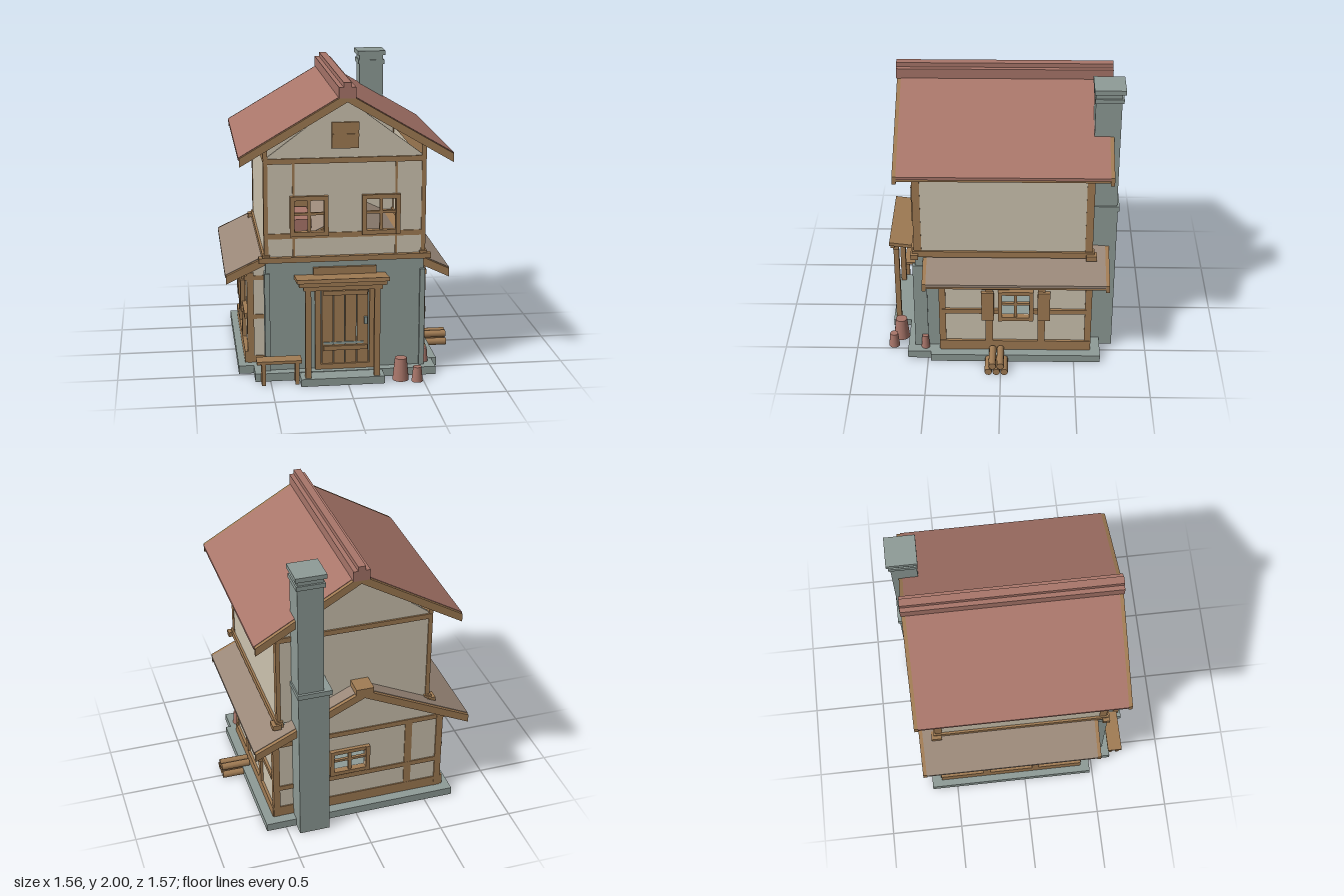
import * as THREE from 'three';

const mat = (name, color, side = THREE.FrontSide) => {
  const m = new THREE.MeshStandardMaterial({ color, side });
  m.name = name;
  return m;
};

export function createModel() {
  const root = new THREE.Group();
  root.name = 'timberHouse';
  const plaster = mat('plaster', 0xcfc5b1), wood = mat('wood', 0xa17c54), stone = mat('stone', 0x8f9c97);
  const tile = mat('redTile', 0xa9766a), shingle = mat('greyShingle', 0x9a8879);

  const add = (name, geo, m, parent = root) => {
    const mesh = new THREE.Mesh(geo, m);
    mesh.name = name;
    parent.add(mesh);
    return mesh;
  };
  // box given by its bounds
  const box = (name, m, x0, x1, y0, y1, z0, z1, parent = root) => {
    const b = add(name, new THREE.BoxGeometry(x1 - x0, y1 - y0, z1 - z0), m, parent);
    b.position.set((x0 + x1) / 2, (y0 + y1) / 2, (z0 + z1) / 2);
    return b;
  };
  // outline in xy with rectangular holes [cx, cy, w, h], extruded from z0 to z1
  const slab = (name, m, pts, z0, z1, holes = [], parent = root) => {
    const shape = new THREE.Shape(pts.map(p => new THREE.Vector2(p[0], p[1])));
    for (const [cx, cy, w, h] of holes) {
      const a = w / 2, b = h / 2;
      shape.holes.push(new THREE.Path([[-a, -b], [-a, b], [a, b], [a, -b]].map(p => new THREE.Vector2(cx + p[0], cy + p[1]))));
    }
    const geo = new THREE.ExtrudeGeometry(shape, { depth: z1 - z0, bevelEnabled: false });
    const mesh = add(name, geo, m, parent);
    mesh.position.z = z0;
    return mesh;
  };
  // pitched roof: wooden deck, coloured covering, bargeboards at both ends
  const roof = (name, m, cx, apex, half, slope, z0, z1) => {
    for (const s of [-1, 1]) {
      const strip = (top, bottom, w) => [[cx, apex - top], [cx + s * w, apex - top - slope * w],
        [cx + s * w, apex - bottom - slope * w], [cx, apex - bottom]];
      slab(name + 'Deck', wood, strip(0.02, 0.045, half - 0.01), z0 + 0.025, z1 - 0.025);
      slab(name + 'Covering', m, strip(0, 0.02, half), z0 + 0.025, z1 - 0.025);
      slab(name + 'Bargeboard', wood, strip(0.004, 0.06, half - 0.005), z0, z0 + 0.025);
      slab(name + 'Bargeboard', wood, strip(0.004, 0.06, half - 0.005), z1 - 0.025, z1);
    }
  };
  // open framed window facing +z, with optional shutters
  const windowAt = (name, x, y, z, ry, w, h, shutters) => {
    const g = new THREE.Group();
    g.name = name;
    g.position.set(x, y, z);
    g.rotation.y = ry;
    root.add(g);
    const a = w / 2, b = h / 2;
    for (const s of [-1, 1]) {
      box('windowJamb', wood, s * (a - 0.014) - 0.014, s * (a - 0.014) + 0.014, -b, b, -0.02, 0.025, g);
      box('windowRail', wood, -a + 0.02, a - 0.02, s * (b - 0.014) - 0.014, s * (b - 0.014) + 0.014, -0.02, 0.02, g);
      if (shutters) box('shutter', wood, s * 0.19 - 0.042, s * 0.19 + 0.042, -0.11, 0.115, 0, 0.028, g);
    }
    box('mullion', wood, -0.01, 0.01, -b, b, -0.01, 0.012, g);
    box('glazingBar', wood, -a, a, 0.005, 0.022, -0.01, 0.01, g);
  };

  // stone footing and doorstep
  box('footing', stone, -0.7, 0.635, 0, 0.055, -0.68, 0.48);
  box('frontFooting', stone, -0.6, 0.6, 0, 0.054, 0.48, 0.64);
  box('doorstep', stone, -0.31, 0.24, 0, 0.05, 0.6, 0.765);

  // stone front of the ground floor
  box('stoneFront', stone, -0.52, 0.52, 0.05, 0.8, 0.4, 0.575);
  box('stoneCourse', stone, -0.52, 0.52, 0.74, 0.81, -0.6, 0.41);
  for (const s of [-1, 1])
    box('stonePilaster', stone, s * 0.512 - 0.017, s * 0.512 + 0.017, 0.05, 0.72, 0.5, 0.592);

  // ground floor timber-framed walls
  const L = -0.635, R = 0.565, C = (L + R) / 2;
  const gable = [[L + 0.01, 0.055], [R - 0.01, 0.055], [R - 0.01, 0.69], [C, 0.98], [L + 0.01, 0.69]];
  slab('lowerBackWall', plaster, gable, -0.605, -0.58, [[0.03, 0.42, 0.22, 0.15]]);
  slab('lowerFrontWall', plaster, gable, 0.38, 0.41);
  for (const s of [-1, 1]) {
    const x = s > 0 ? R : L;
    const side = slab('lowerSideWall', plaster, [[-0.4, 0.055], [0.6, 0.055], [0.6, 0.7], [-0.4, 0.7]], 0, 0.02, [[0.1, 0.43, 0.19, 0.19]]);
    side.rotation.y = Math.PI / 2;
    side.position.set(s > 0 ? x - 0.03 : x + 0.01, 0, 0);
    const beam = (name, y0, y1, z0, z1, out = 0) => box(name, wood, x - 0.018 + s * out, x + 0.018 + s * out - 0.01 * s, y0, y1, z0, z1);
    beam('sillBeam', 0.055, 0.13, -0.61, 0.415);
    beam('wallPlate', 0.63, 0.66, -0.61, 0.415);
    for (const [z0, z1] of [[-0.58, -0.22], [0.02, 0.4]]) beam('midRail', 0.36, 0.395, z0, z1);
    for (const z of [0.08, -0.275]) beam('sideStud', 0.1, 0.64, z - 0.025, z + 0.025);
    beam('windowHood', 0.57, 0.592, -0.16, 0.13, 0.012);
    for (const [z0, z1] of [[-0.615, -0.57], [0.375, 0.42]])
      box('cornerPost', wood, Math.min(x, x - s * 0.045), Math.max(x, x - s * 0.045), 0.055, 0.68, z0, z1);
    windowAt('sideWindow', x, 0.43, -0.1, s * Math.PI / 2, 0.24, 0.24, true);
    // short rails on the shoulders beside the stone front
    const e = s * 0.52;
    for (const [y0, y1] of [[0.055, 0.1], [0.36, 0.39], [0.63, 0.66]])
      box('shoulderRail', wood, Math.min(x, e), Math.max(x, e), y0, y1, 0.4, 0.416);
  }
  for (const [y0, y1] of [[0.055, 0.13], [0.27, 0.305], [0.63, 0.665]])
    box('backRail', wood, L, R, y0, y1, -0.613, -0.6);
  for (const x of [-0.39, 0.2]) box('backStud', wood, x - 0.025, x + 0.025, 0.1, 0.64, -0.612, -0.6);
  windowAt('backWindow', 0.03, 0.42, -0.61, Math.PI, 0.28, 0.2, false);

  // lower roof
  roof('lowerRoof', shingle, C, 1.05, 0.745, 0.475, -0.72, 0.52);
  box('lowerRidge', wood, C - 0.06, C + 0.06, 1.02, 1.065, -0.725, -0.55);

  // upper storey: gable walls, side walls and framing
  const upper = [[-0.515, 0.82], [0.515, 0.82], [0.515, 1.48], [0, 1.865], [-0.515, 1.48]];
  slab('upperFrontWall', plaster, upper, 0.55, 0.57, [[-0.235, 1.1, 0.2, 0.21], [0.235, 1.1, 0.2, 0.21]]);
  slab('upperBackWall', plaster, upper, -0.6, -0.58);
  box('upperFloor', wood, -0.5, 0.5, 0.81, 0.83, -0.58, 0.55);
  for (const s of [-1, 1]) {
    const x = s * 0.515;
    box('upperSideWall', plaster, x - 0.01, x + 0.01, 0.82, 1.56, -0.6, 0.57);
    box('eavePlate', wood, x - 0.015, x + 0.015, 1.455, 1.55, -0.605, 0.575);
    box('jettySideBeam', wood, x - 0.025, x + 0.025, 0.8, 0.845, -0.62, 0.59);
    for (const [z0, z1] of [[-0.608, -0.558], [0.528, 0.578]])
      box('upperCornerPost', wood, x - 0.014, x + 0.014, 0.83, 1.54, z0, z1);
    box('frontStud', wood, s * 0.335 - 0.007, s * 0.335 + 0.007, 0.83, 1.46, 0.565, 0.574);
    box('jettyBeamEnd', wood, s * 0.535 - 0.03, s * 0.535 + 0.03, 0.795, 0.83, -0.635, -0.565);
    windowAt('upperWindow', s * 0.235, 1.1, 0.575, 0, 0.25, 0.265, false);
  }
  box('frontTieBeam', wood, -0.525, 0.525, 1.445, 1.48, 0.56, 0.582);
  box('frontRail', wood, -0.525, 0.525, 0.95, 0.985, 0.56, 0.578);
  box('backTieBeam', wood, -0.525, 0.525, 1.445, 1.48, -0.612, -0.59);
  box('jettyFrontBeam', wood, -0.565, 0.565, 0.795, 0.83, 0.55, 0.6);

  // attic hatch with cross bars
  box('atticHatch', wood, -0.088, 0.088, 1.54, 1.71, 0.565, 0.585);
  box('hatchBar', wood, -0.01, 0.01, 1.54, 1.71, 0.58, 0.592);
  box('hatchBar', wood, -0.088, 0.088, 1.615, 1.635, 0.58, 0.592);

  // bed inside the upper room
  box('bed', tile, -0.34, -0.2, 0.93, 1.03, 0.05, 0.4);
  box('bedHeadboard', wood, -0.34, -0.18, 0.93, 1.12, 0.0, 0.03);

  // main roof and ridge
  roof('mainRoof', tile, 0, 1.915, 0.69, 0.585, -0.72, 0.685);
  box('ridgeCap', tile, -0.055, 0.055, 1.88, 1.95, -0.725, 0.69);
  box('ridgeCrest', tile, -0.025, 0.025, 1.94, 1.98, -0.725, 0.69);

  // chimney
  box('chimneyShaft', stone, 0.255, 0.425, 0, 1.975, -0.762, -0.595);
  box('chimneyBase', stone, 0.22, 0.427, 0, 1.11, -0.768, -0.597);
  box('chimneyLedge', stone, 0.203, 0.433, 1.105, 1.14, -0.778, -0.597);
  box('chimneyCollar', stone, 0.247, 0.434, 1.905, 1.935, -0.774, -0.59);
  box('chimneyCap', stone, 0.24, 0.442, 1.97, 2, -0.785, -0.585);

  // front door: planks, battens, frame
  for (let i = 0; i < 4; i++)
    box('doorPlank', wood, -0.155 + i * 0.078, -0.083 + i * 0.078, 0.08, 0.63, 0.57, 0.592 + (i % 2) * 0.004);
  for (const y of [0.2, 0.58]) box('doorBatten', wood, -0.145, 0.145, y - 0.015, y + 0.015, 0.59, 0.608);
  box('doorBand', stone, -0.145, 0.12, 0.225, 0.24, 0.59, 0.6);
  box('doorHandle', stone, 0.125, 0.145, 0.36, 0.41, 0.59, 0.612);
  for (const x of [-0.182, 0.178]) box('doorJamb', wood, x - 0.018, x + 0.018, 0.05, 0.66, 0.565, 0.605);
  box('doorThreshold', wood, -0.2, 0.196, 0.055, 0.09, 0.565, 0.605);
  box('doorLintel', wood, -0.21, 0.205, 0.63, 0.755, 0.565, 0.597);

  // porch canopy on two posts
  const canopy = box('canopy', wood, -0.335, 0.265, 0.69, 0.715, 0.57, 0.772);
  canopy.rotation.x = -0.12;
  box('canopyEdge', wood, -0.32, 0.25, 0.675, 0.705, 0.735, 0.762);
  box('canopyBeam', wood, -0.29, 0.225, 0.645, 0.68, 0.71, 0.75);
  for (const x of [-0.26, 0.19]) {
    box('canopyPost', wood, x - 0.019, x + 0.019, 0.045, 0.65, 0.712, 0.748);
    const brace = box('canopyBrace', wood, x - 0.012, x + 0.012, 0.64, 0.66, 0.565, 0.665);
    brace.rotation.x = -0.6;
  }

  // bench
  box('benchSeat', wood, -0.595, -0.3, 0.148, 0.168, 0.625, 0.725);
  for (const x of [-0.55, -0.33])
    for (const z of [0.65, 0.705]) box('benchLeg', wood, x - 0.013, x + 0.013, 0, 0.15, z - 0.013, z + 0.013);

  // clay pots standing upside down: [x, base y, z, radius, height]
  for (const [x, y, z, r, h] of [[0.355, 0, 0.7, 0.055, 0.15], [0.458, 0, 0.745, 0.038, 0.1], [0.54, 0.05, 0.52, 0.03, 0.1]])
    add('clayPot', new THREE.CylinderGeometry(r * 0.72, r, h, 16), tile).position.set(x, y + h / 2, z);

  // stacked firewood
  for (const [z, y] of [[0.083, 0.025], [0.029, 0.025], [-0.025, 0.025], [0.056, 0.073], [0.002, 0.073]]) {
    const log = add('log', new THREE.CylinderGeometry(0.025, 0.025, 0.2, 10), wood);
    log.rotation.z = Math.PI / 2;
    log.position.set(0.682, y, z);
  }
  return root;
}
